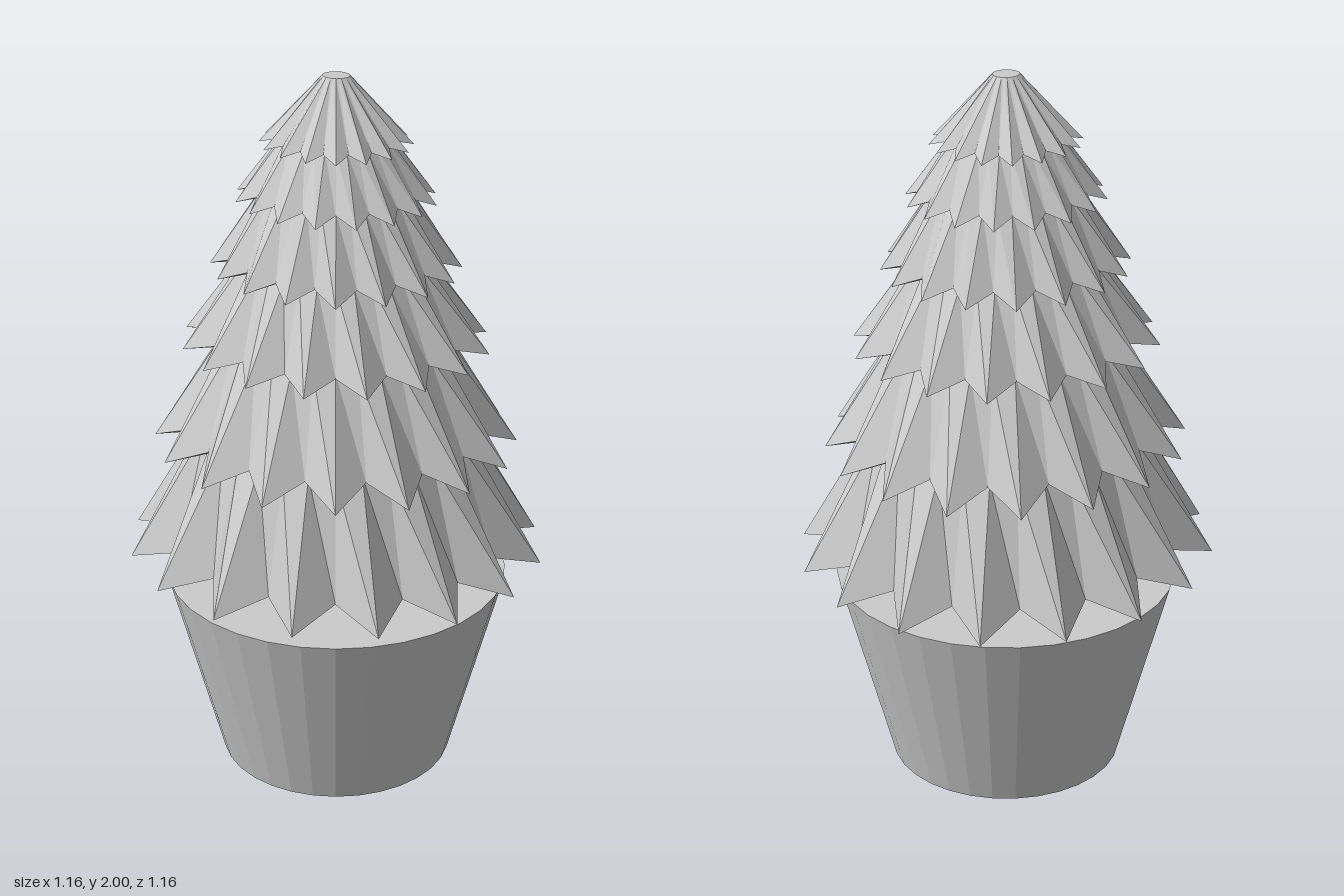
import * as THREE from 'three';

const POINTS = 16;
const STEPS = POINTS * 2;

// Foliage tiers from bottom to top: tip radius/height, valley radius/height,
// and the plain ring where the tier disappears under the one above.
const TIERS = [
  { tip: [0.58, 0.64], valley: [0.465, 0.685], top: [0.365, 1.01] },
  { tip: [0.5, 0.965], valley: [0.41, 1.015], top: [0.3, 1.28] },
  { tip: [0.42, 1.255], valley: [0.345, 1.285], top: [0.245, 1.5] },
  { tip: [0.338, 1.475], valley: [0.28, 1.505], top: [0.195, 1.69] },
  { tip: [0.27, 1.665], valley: [0.225, 1.69], top: [0.145, 1.835] },
  { tip: [0.204, 1.817], valley: [0.165, 1.833], top: [0.036, 2.0] },
];

// One ring of points; even steps use a, odd steps use b. The tree leans slightly.
function ring(a, b = a) {
  return Array.from({ length: STEPS }, (_, j) => {
    const [r, y] = j % 2 ? b : a;
    const t = (j / STEPS) * Math.PI * 2;
    const x = r * Math.cos(t), z = r * Math.sin(t);
    return [x, y - 0.026 * x + 0.008 * z, z];
  });
}

// Skin a list of rings ordered from top to bottom.
function skin(rings) {
  const index = [];
  for (let i = 0; i < rings.length - 1; i++) {
    for (let j = 0; j < STEPS; j++) {
      const k = (j + 1) % STEPS;
      const a = i * STEPS + j, an = i * STEPS + k;
      const b = a + STEPS, bn = an + STEPS;
      index.push(a, an, b, an, bn, b);
    }
  }
  const geo = new THREE.BufferGeometry();
  geo.setAttribute('position', new THREE.Float32BufferAttribute(rings.flat(2), 3));
  geo.setIndex(index);
  const flat = geo.toNonIndexed();
  flat.computeVertexNormals();
  return flat;
}

export function createModel() {
  const group = new THREE.Group();
  const material = new THREE.MeshStandardMaterial({ color: 0xcccccc, flatShading: true });
  const add = (name, geometry) => {
    const mesh = new THREE.Mesh(geometry, material);
    mesh.name = name;
    group.add(mesh);
    return mesh;
  };

  // Solid tapered pot
  add('pot', new THREE.CylinderGeometry(0.478, 0.328, 0.567, 32)).position.y = 0.2835;

  // Short trunk between pot and foliage
  add('trunk', new THREE.CylinderGeometry(0.036, 0.036, 0.16, 16)).position.y = 0.64;

  // Pleated foliage: each tier flares to a zigzag hem, then tucks in underneath
  TIERS.forEach(({ tip, valley, top }, i) => {
    const hem = i % 2 ? ring(valley, tip) : ring(tip, valley);
    const under = i ? TIERS[i - 1].top : [0.001, 0.69];
    const rings = [ring(top), hem, ring(under)];
    if (i === TIERS.length - 1) rings.unshift(ring([0.0005, top[1]])); // flat crown
    add(`foliageTier${i + 1}`, skin(rings));
  });

  return group;
}
